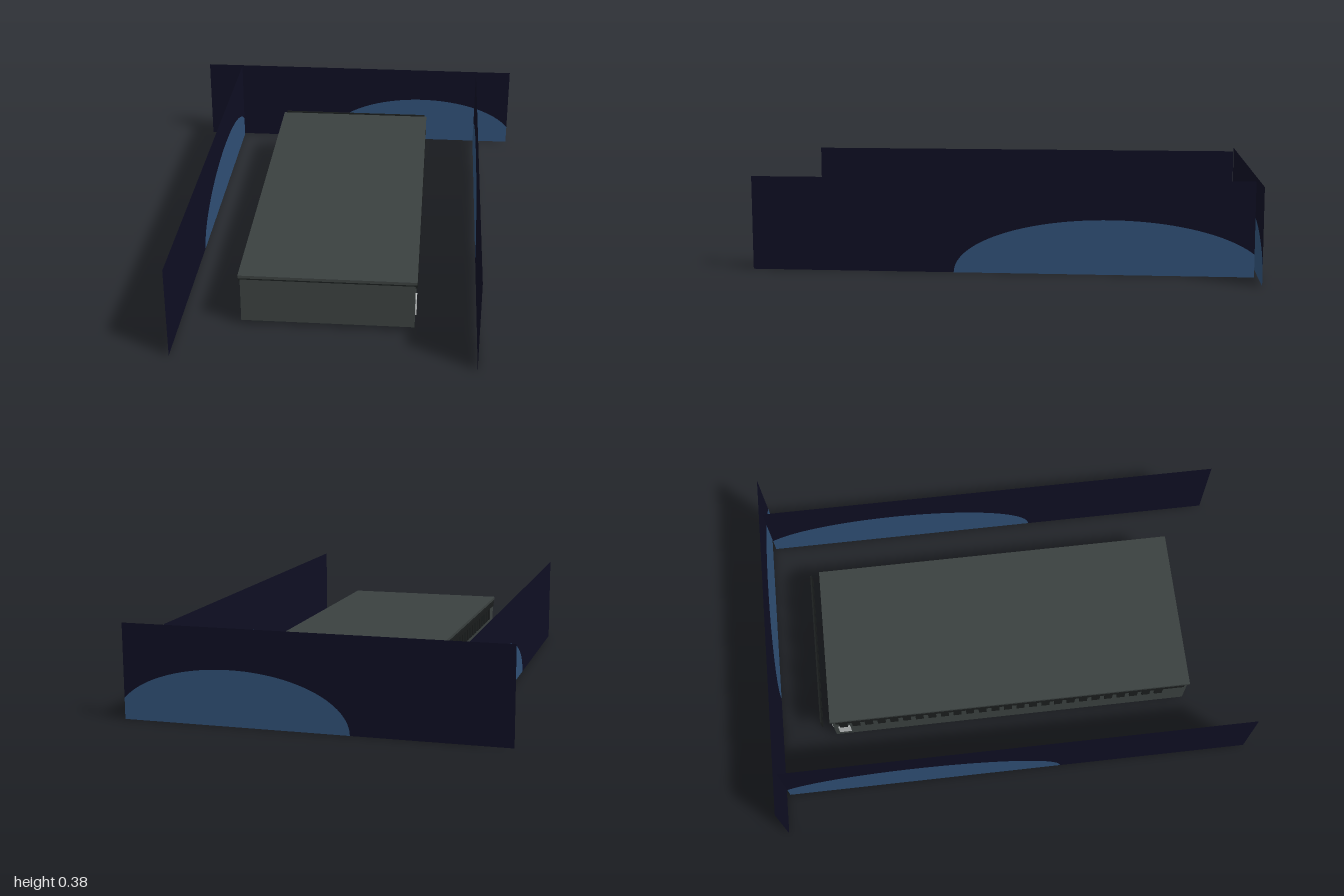
import * as THREE from 'three';

const mat = (name, color, side = THREE.FrontSide) => {
  const m = new THREE.MeshStandardMaterial({ color, side });
  m.name = name;
  return m;
};

export function createModel() {
  const navy = mat('navy', 0x0e0e22, THREE.DoubleSide);
  const blue = mat('blue', 0x2f4f75, THREE.DoubleSide);
  const grey = mat('slate grey', 0x3a403f);
  const dark = mat('dark trim', 0x1a1d1d);
  const pale = mat('pale grey', 0xb8bcbc);

  const model = new THREE.Group();
  model.name = 'boxWithBackdrops';

  const box = (name, material, w, h, d, x, y, z, parent = model) => {
    const mesh = new THREE.Mesh(new THREE.BoxGeometry(w, h, d), material);
    mesh.name = name;
    mesh.position.set(x, y, z);
    parent.add(mesh);
    return mesh;
  };

  // Upright backdrop with a low dome cut off by its right-hand edge
  const backdrop = (name, u0, u1, centre, radius) => {
    const group = new THREE.Group();
    group.name = name;
    const height = 0.375, rise = 0.217, steps = 48;
    const end = Math.acos((u1 - centre) / radius);
    const arc = [];
    for (let i = 0; i <= steps; i++) {
      const t = Math.PI + (end - Math.PI) * i / steps;
      arc.push(new THREE.Vector2(centre + radius * Math.cos(t), rise * Math.sin(t)));
    }
    const v = (x, y) => new THREE.Vector2(x, y);
    const sky = new THREE.Shape([v(u0, 0), ...arc, v(u1, height), v(u0, height)]);
    const dome = new THREE.Shape([...arc, v(u1, 0)]);
    for (const [part, shape, material] of [['sky', sky, navy], ['dome', dome, blue]]) {
      const mesh = new THREE.Mesh(new THREE.ShapeGeometry(shape), material);
      mesh.name = part;
      group.add(mesh);
    }
    model.add(group);
    return group;
  };

  backdrop('backBackdrop', -0.75, 0.75, 0.32, 0.465).position.z = -1;
  for (const [name, side] of [['leftBackdrop', 1], ['rightBackdrop', -1]]) {
    const panel = backdrop(name, -1, 0.985, 0.425, 0.615);
    panel.rotation.y = Math.PI / 2;
    panel.position.x = side * 0.583;
  }

  // Long body, with a thin roof over a dark seam
  box('body', grey, 0.68, 0.19, 1.53, 0, 0.115, 0);
  box('roofSeam', dark, 0.69, 0.008, 1.538, 0, 0.212, 0);
  box('roof', grey, 0.694, 0.012, 1.544, 0, 0.221, 0);

  // Side vents along the upper half
  for (const side of [1, -1]) {
    const vents = new THREE.Group();
    vents.name = side > 0 ? 'leftVents' : 'rightVents';
    model.add(vents);
    box('ventRail', dark, 0.007, 0.02, 1.5, side * 0.3435, 0.198, 0, vents);
    for (let i = 0; i < 26; i++) {
      box('ventSlat', dark, 0.007, 0.05, 0.034, side * 0.3435, 0.163, -0.72 + i * 0.0545, vents);
    }
    // Small light near one corner of each side
    box('sideLight', pale, 0.008, 0.07, 0.05, side * 0.342, 0.1, side * 0.72);
  }
  box('backLight', pale, 0.04, 0.04, 0.008, -0.31, 0.12, -0.767);

  // Toothed strip standing just behind the body
  const strip = new THREE.Group();
  strip.name = 'backStrip';
  model.add(strip);
  box('stripRail', dark, 0.676, 0.025, 0.006, 0, 0.205, -0.81, strip);
  for (let i = 0; i < 16; i++) {
    box('stripTooth', dark, 0.024, 0.05, 0.006, -0.326 + i * 0.0435, 0.168, -0.81, strip);
  }
  return model;
}
